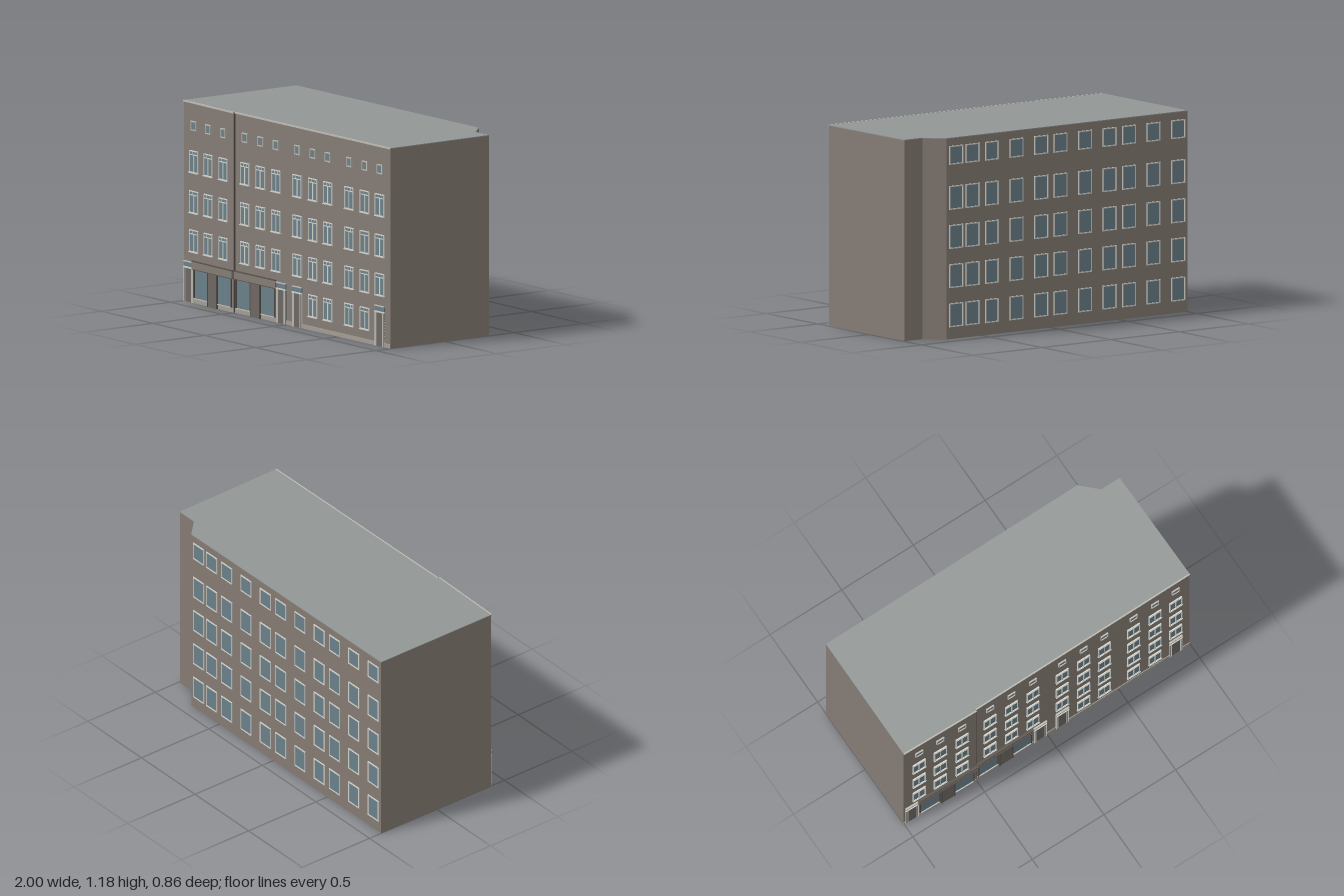
import * as THREE from 'three';

const mat = (color) => new THREE.MeshStandardMaterial({ color });

export function createModel() {
  const model = new THREE.Group();
  model.name = 'apartmentBlock';
  const wall = mat(0x857b74), roofGrey = mat(0x929695), glass = mat(0x6a808a), white = mat(0xd2d2cc);
  const plinthGrey = mat(0xa39d94), doorGrey = mat(0x6d6763), dark = mat(0x5a514b), backTrim = mat(0xbdbab2);

  // Footprint as [x, z], with a stepped front and a notched rear corner
  const footprint = [[-1, 0.403], [-0.5, 0.413], [-0.5, 0.404], [1, 0.394], [0.99, -0.325],
    [0.86, -0.325], [0.76, -0.423], [-1, -0.413]];
  const slab = (name, y, height, material) => {
    const shape = new THREE.Shape(footprint.map(([x, z]) => new THREE.Vector2(x, -z)));
    const geo = new THREE.ExtrudeGeometry(shape, { depth: height, bevelEnabled: false });
    geo.rotateX(-Math.PI / 2);
    const mesh = new THREE.Mesh(geo, material);
    mesh.position.y = y;
    mesh.name = name;
    model.add(mesh);
  };
  slab('walls', 0, 1.178, wall);
  slab('roof', 1.178, 0.005, roofGrey);

  // Box whose rear face lies at depth z0 in front of its parent plane
  const panel = (parent, name, x, y, w, h, d, material, z0 = -0.002) => {
    const mesh = new THREE.Mesh(new THREE.BoxGeometry(w, h, d), material);
    mesh.position.set(x, y, z0 + d / 2);
    mesh.name = name;
    parent.add(mesh);
  };

  // Groups lying on the facade planes, facing outwards
  const onFront = (name, x) => {
    const g = new THREE.Group();
    const left = x < -0.5;
    const slope = left ? 0.02 : -0.01 / 1.5;
    g.position.set(x, 0, (left ? 0.413 : 0.404) + slope * (x + 0.5));
    g.rotation.y = -Math.atan(slope);
    g.name = name;
    model.add(g);
    return g;
  };
  const onBack = (name, x) => {
    const g = new THREE.Group();
    g.position.set(x, 0, -0.413 - (x + 1) * 0.01 / 1.76);
    g.rotation.y = Math.PI - Math.atan(-0.01 / 1.76);
    g.name = name;
    model.add(g);
    return g;
  };

  // Rectangular frame made of four bars
  const frame = (g, y0, y1, w, t, d, material) => {
    for (const s of [-1, 1]) panel(g, 'frameSide', s * (w - t) / 2, (y0 + y1) / 2, t, y1 - y0, d, material);
    for (const y of [y0 + t / 2, y1 - t / 2]) panel(g, 'frameRail', 0, y, w - 2 * t, t, d, material);
  };

  // Front windows: casements with a transom row above
  const casement = (x, y0) => {
    const g = onFront('casementWindow', x), h = 0.13, w = 0.086;
    panel(g, 'glass', 0, y0 + h / 2, w - 0.004, h - 0.004, 0.005, glass);
    frame(g, y0, y0 + h, w, 0.005, 0.011, white);
    panel(g, 'mullion', 0, y0 + 0.052, 0.007, 0.104, 0.009, white);
    panel(g, 'transom', 0, y0 + 0.106, w, 0.005, 0.009, white);
    for (const s of [-1, 1]) panel(g, 'upperMullion', s * 0.014, y0 + 0.118, 0.003, 0.022, 0.008, white);
    panel(g, 'sill', 0, y0 - 0.001, w + 0.006, 0.005, 0.014, white);
  };
  const columns = [-0.895, -0.75, -0.6, -0.4, -0.25, -0.1, 0.105, 0.255, 0.4, 0.605, 0.755, 0.9];
  for (const x of columns) {
    for (const y of [0.3, 0.53, 0.768]) casement(x, y);
    const attic = onFront('atticWindow', x);
    panel(attic, 'glass', 0, 1.045, 0.048, 0.052, 0.005, glass);
    frame(attic, 1.017, 1.073, 0.052, 0.006, 0.011, backTrim);
  }
  for (const x of [0.255, 0.4, 0.605, 0.755]) casement(x, 0.08);

  // Entrance doors with a transom light and small hood
  for (const x of [-0.945, -0.05, 0.105, 0.9]) {
    const g = onFront('entranceDoor', x);
    panel(g, 'doorLeaf', 0, 0.1, 0.088, 0.2, 0.007, doorGrey);
    for (const px of [-0.042, -0.031, 0.031, 0.042]) panel(g, 'doorPost', px, 0.1, 0.004, 0.2, 0.011, white);
    panel(g, 'doorHead', 0, 0.203, 0.092, 0.008, 0.013, white);
    panel(g, 'transomLight', 0, 0.222, 0.086, 0.032, 0.007, glass);
    panel(g, 'doorHood', 0, 0.238, 0.092, 0.005, 0.014, backTrim);
  }

  // Two shopfronts, each with two display windows, a central door and a fascia
  for (const [x, w] of [[-0.705, 0.4], [-0.297, 0.394]]) {
    const g = onFront('shopfront', x);
    panel(g, 'fascia', 0, 0.224, w, 0.046, 0.014, wall);
    panel(g, 'fasciaTop', 0, 0.247, w, 0.005, 0.017, dark);
    panel(g, 'fasciaBase', 0, 0.2, w, 0.004, 0.016, dark);
    panel(g, 'shopDoor', 0.005, 0.098, 0.09, 0.196, 0.014, doorGrey);
    for (const s of [-1, 1]) {
      panel(g, 'shopDoorPost', 0.005 + s * 0.045, 0.1, 0.005, 0.2, 0.016, dark);
      panel(g, 'displayWindow', s * 0.117, 0.113, 0.13, 0.17, 0.005, glass);
      for (const e of [-1, 1]) panel(g, 'displayPost', s * 0.117 + e * 0.067, 0.113, 0.005, 0.17, 0.01, dark);
      panel(g, 'displaySill', s * 0.117, 0.028, 0.136, 0.005, 0.012, backTrim);
    }
  }

  // Plinth and cornice along both front sections
  for (const [x, w] of [[-0.75, 0.5], [0.25, 1.498]]) {
    const g = onFront('frontTrim', x);
    panel(g, 'plinth', 0, 0.0125, w, 0.025, 0.006, plinthGrey);
    panel(g, 'cornice', 0, 1.18, w, 0.009, 0.008, backTrim);
  }
  const joint = onFront('buildingJoint', -0.5);
  panel(joint, 'jointStrip', 0, 0.59, 0.005, 1.18, 0.011, dark);

  // Rear windows in five rows
  const rearRows = [[0.07, 0.21], [0.3, 0.44], [0.53, 0.67], [0.76, 0.9], [1.025, 1.135]];
  for (const x of [0.69, 0.57, 0.43, 0.25, 0.07, -0.07, -0.25, -0.43, -0.57, -0.75, -0.93]) {
    for (const [y0, y1] of rearRows) {
      const g = onBack('rearWindow', x);
      panel(g, 'glass', 0, (y0 + y1) / 2, 0.096, y1 - y0 - 0.004, 0.004, glass);
      frame(g, y0, y1, 0.1, 0.007, 0.007, white);
    }
  }
  return model;
}
